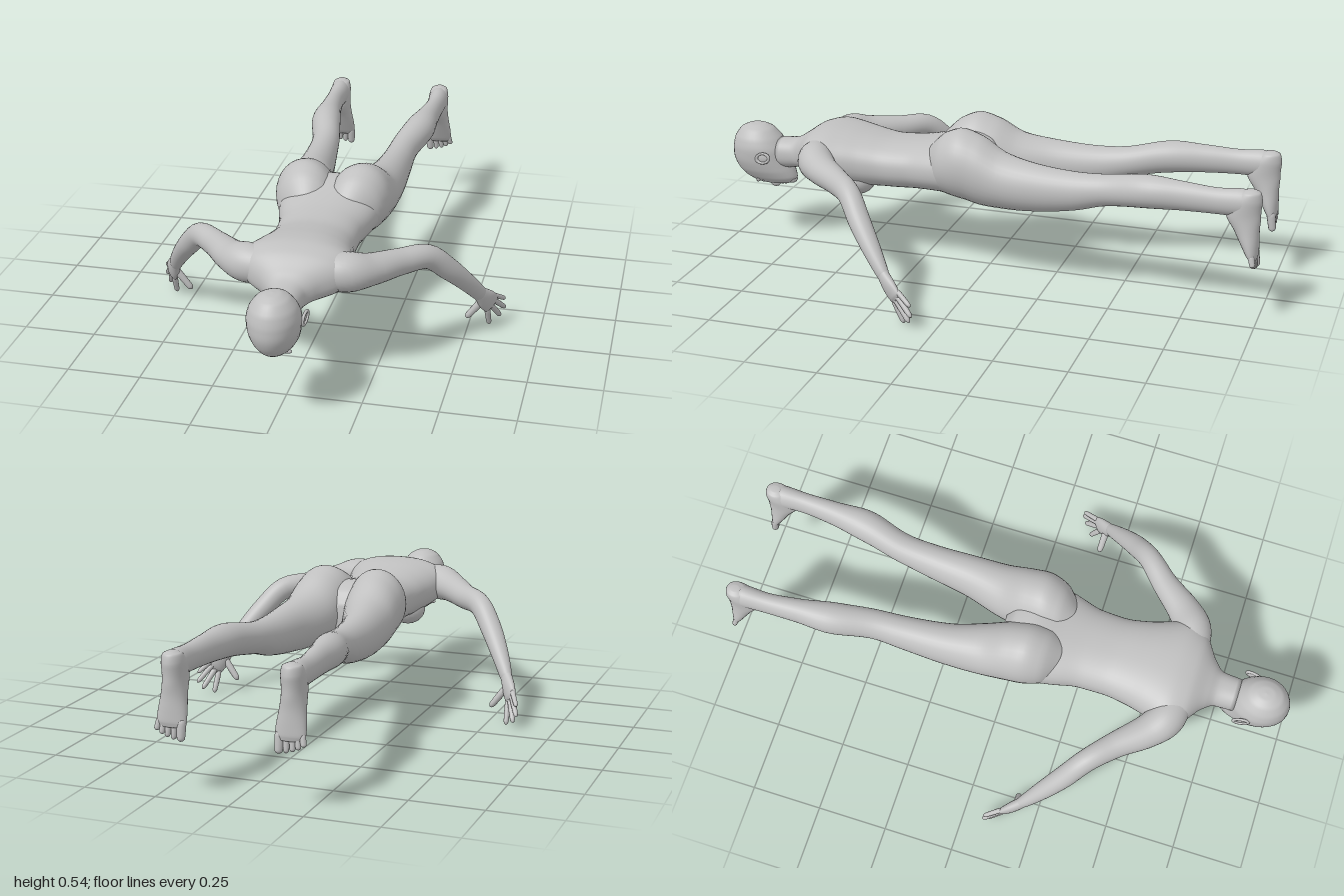
import * as THREE from 'three';

const skin = new THREE.MeshStandardMaterial({ color: 0xc0c0c0 });
skin.name = 'plain grey skin';

const v3 = (x, y, z) => new THREE.Vector3(x, y, z);

// Smooth closed tube through sections [x, y, z, radiusA, radiusB].
// side: direction of radiusA; axis: fixed section normal, or null to follow the path;
// power: below 1 gives boxier sections; s: 1 for left, -1 for right.
function loft(name, sections, { side, axis = null, power = 1, s = 1, around = 32, steps = 5 }) {
  const path = new THREE.CatmullRomCurve3(sections.map(p => v3(p[0] * s, p[1], p[2])));
  const radii = new THREE.CatmullRomCurve3(sections.map(p => v3(p[3], p[4], 0)));
  const rows = (sections.length - 1) * steps;
  const hint = v3(side[0] * s, side[1], side[2]);
  const positions = [], index = [];
  const soft = a => Math.sign(a) * Math.abs(a) ** power;
  const centres = [];
  for (let i = 0; i <= rows; i++) {
    const t = i / rows;
    const c = path.getPoint(t), r = radii.getPoint(t);
    const T = axis ? v3(...axis) : path.getTangent(t);
    const U = hint.clone().addScaledVector(T, -hint.dot(T)).normalize();
    const V = T.clone().cross(U);
    for (let j = 0; j < around; j++) {
      const a = (j / around) * Math.PI * 2;
      const p = c.clone()
        .addScaledVector(U, soft(Math.cos(a)) * Math.max(r.x, 0.0005))
        .addScaledVector(V, soft(Math.sin(a)) * Math.max(r.y, 0.0005));
      positions.push(p.x, p.y, p.z);
      if (i < rows) {
        const k = (j + 1) % around, n = i * around, m = n + around;
        index.push(n + j, n + k, m + k, n + j, m + k, m + j);
      }
    }
    if (i === 0 || i === rows) centres.push(c);
  }
  // End caps
  const first = positions.length / 3, last = rows * around;
  centres.forEach(c => positions.push(c.x, c.y, c.z));
  for (let j = 0; j < around; j++) {
    const k = (j + 1) % around;
    index.push(first, k, j, first + 1, last + j, last + k);
  }
  const g = new THREE.BufferGeometry();
  g.setAttribute('position', new THREE.Float32BufferAttribute(positions, 3));
  g.setIndex(index);
  g.computeVertexNormals();
  const mesh = new THREE.Mesh(g, skin);
  mesh.name = name;
  return mesh;
}

function ellipsoid(name, centre, size) {
  const mesh = new THREE.Mesh(new THREE.SphereGeometry(1, 24, 16), skin);
  mesh.name = name;
  mesh.position.set(...centre);
  mesh.scale.set(...size);
  return mesh;
}

// Finger or toe with a rounded tip
function digit(name, from, to, r, s) {
  const at = (t, k) => [0, 1, 2].map(i => from[i] + (to[i] - from[i]) * t).concat(r * k, r * k);
  return loft(name, [at(-0.1, 0.8), at(0.1, 1), at(0.5, 0.95), at(0.85, 0.85), at(0.96, 0.5), at(1, 0.02)],
    { side: [1, 0.3, 0.2], s, around: 12, steps: 3 });
}

function makeHead() {
  const head = new THREE.Group();
  head.name = 'head';
  // Skull and face, from the face up to the back of the head
  head.add(loft('skull', [
    [0, 0.226, 0.83, 0.005, 0.02],
    [0, 0.232, 0.838, 0.038, 0.075],
    [0, 0.252, 0.851, 0.057, 0.1],
    [0, 0.282, 0.869, 0.073, 0.109],
    [0, 0.32, 0.884, 0.083, 0.109],
    [0, 0.36, 0.89, 0.086, 0.104],
    [0, 0.4, 0.897, 0.076, 0.087],
    [0, 0.432, 0.9, 0.052, 0.06],
    [0, 0.446, 0.9, 0.025, 0.03],
    [0, 0.449, 0.9, 0.001, 0.001],
  ], { side: [1, 0, 0], axis: [0, 1, 0] }));
  head.add(ellipsoid('nose', [0, 0.226, 0.838], [0.013, 0.02, 0.022]));
  head.add(ellipsoid('upperLip', [0, 0.229, 0.804], [0.022, 0.008, 0.007]));
  head.add(ellipsoid('lowerLip', [0, 0.23, 0.793], [0.019, 0.008, 0.007]));
  head.add(ellipsoid('chin', [0, 0.242, 0.768], [0.022, 0.014, 0.017]));
  for (const s of [1, -1]) {
    head.add(ellipsoid('eye', [0.031 * s, 0.241, 0.868], [0.016, 0.009, 0.009]));
    head.add(ellipsoid('brow', [0.032 * s, 0.241, 0.887], [0.024, 0.009, 0.007]));
    // Ear: rim around a shallow bowl
    const ear = new THREE.Group();
    ear.name = 'ear';
    const rim = new THREE.Mesh(new THREE.TorusGeometry(0.02, 0.005, 10, 28), skin);
    rim.name = 'earRim';
    rim.scale.set(1.3, 0.9, 1);
    ear.add(rim, ellipsoid('earBowl', [0, 0, -0.004 * s], [0.024, 0.017, 0.005]));
    ear.position.set(0.088 * s, 0.342, 0.845);
    ear.rotation.y = Math.PI / 2 - 0.1 * s;
    ear.rotation.x = 0.3 * s;
    head.add(ear);
  }
  return head;
}

function makeArm(s) {
  const arm = new THREE.Group();
  arm.name = s > 0 ? 'leftArm' : 'rightArm';
  const side = [0.4, 0.8, -0.35];
  arm.add(loft('armAndForearm', [
    [0.1, 0.39, 0.61, 0.06, 0.06],
    [0.17, 0.39, 0.597, 0.066, 0.064],
    [0.23, 0.383, 0.55, 0.053, 0.058],
    [0.31, 0.375, 0.458, 0.045, 0.045],
    [0.39, 0.366, 0.38, 0.041, 0.039],
    [0.45, 0.3, 0.32, 0.038, 0.038],
    [0.5, 0.23, 0.26, 0.032, 0.032],
    [0.543, 0.16, 0.202, 0.026, 0.021],
    [0.55, 0.147, 0.19, 0.022, 0.015],
  ], { side, s }));
  arm.add(loft('palm', [
    [0.537, 0.172, 0.212, 0.022, 0.018],
    [0.55, 0.148, 0.192, 0.028, 0.019],
    [0.565, 0.12, 0.167, 0.036, 0.018],
    [0.577, 0.098, 0.146, 0.036, 0.014],
    [0.582, 0.088, 0.137, 0.025, 0.007],
  ], { side, s }));
  arm.add(digit('thumb', [0.55, 0.12, 0.18], [0.495, 0.046, 0.173], 0.013, s));
  arm.add(digit('indexFinger', [0.566, 0.074, 0.152], [0.57, 0.003, 0.118], 0.0105, s));
  arm.add(digit('middleFinger', [0.576, 0.09, 0.145], [0.604, 0.023, 0.087], 0.0105, s));
  arm.add(digit('ringFinger', [0.584, 0.106, 0.137], [0.619, 0.05, 0.074], 0.01, s));
  arm.add(digit('littleFinger', [0.589, 0.12, 0.13], [0.617, 0.087, 0.078], 0.009, s));
  return arm;
}

function makeLeg(s) {
  const leg = new THREE.Group();
  leg.name = s > 0 ? 'leftLeg' : 'rightLeg';
  // Buttock, thigh, knee, calf and ankle
  leg.add(loft('thighAndCalf', [
    [0.07, 0.39, 0.2, 0.055, 0.065],
    [0.088, 0.408, 0.14, 0.096, 0.107],
    [0.099, 0.415, 0.07, 0.105, 0.125],
    [0.104, 0.398, 0, 0.101, 0.122],
    [0.114, 0.375, -0.08, 0.091, 0.1],
    [0.133, 0.368, -0.2, 0.072, 0.085],
    [0.143, 0.375, -0.35, 0.058, 0.068],
    [0.152, 0.396, -0.47, 0.052, 0.055],
    [0.181, 0.418, -0.6, 0.056, 0.057],
    [0.193, 0.421, -0.73, 0.041, 0.05],
    [0.2, 0.42, -0.85, 0.034, 0.045],
    [0.2, 0.423, -0.93, 0.037, 0.048],
    [0.2, 0.422, -0.975, 0.022, 0.03],
  ], { side: [1, 0, 0], axis: [0, 0, -1], s }));
  // Foot hanging from heel to ball, sole facing back
  leg.add(loft('foot', [
    [0.199, 0.471, -0.96, 0.012, 0.015],
    [0.199, 0.462, -0.957, 0.03, 0.034],
    [0.199, 0.43, -0.945, 0.038, 0.053],
    [0.199, 0.38, -0.937, 0.038, 0.058],
    [0.199, 0.33, -0.95, 0.042, 0.043],
    [0.199, 0.28, -0.964, 0.049, 0.03],
    [0.199, 0.248, -0.973, 0.05, 0.021],
    [0.197, 0.232, -0.977, 0.043, 0.013],
  ], { side: [1, 0, 0], axis: [0, -1, 0], s }));
  // Toes, big toe on the inside
  for (let i = 0; i < 5; i++) {
    const x = [0.164, 0.187, 0.206, 0.223, 0.239][i];
    const tip = [0.188, 0.192, 0.198, 0.206, 0.217][i];
    leg.add(digit('toe', [x, 0.25, -0.975], [x + 0.002 * i, tip, -0.984], i ? 0.0105 : 0.015, s));
  }
  return leg;
}

export function createModel() {
  const figure = new THREE.Group();
  figure.name = 'proneFigure';
  // Torso from hips to neck
  figure.add(loft('torsoAndNeck', [
    [0, 0.37, -0.035, 0.04, 0.05],
    [0, 0.382, 0, 0.12, 0.09],
    [0, 0.39, 0.08, 0.185, 0.105],
    [0, 0.38, 0.18, 0.168, 0.093],
    [0, 0.37, 0.27, 0.145, 0.088],
    [0, 0.365, 0.36, 0.142, 0.088],
    [0, 0.37, 0.45, 0.155, 0.095],
    [0, 0.378, 0.52, 0.175, 0.098],
    [0, 0.388, 0.59, 0.195, 0.091],
    [0, 0.385, 0.65, 0.165, 0.08],
    [0, 0.368, 0.7, 0.095, 0.063],
    [0, 0.352, 0.74, 0.061, 0.055],
    [0, 0.345, 0.81, 0.056, 0.055],
  ], { side: [1, 0, 0], axis: [0, 0, 1], power: 0.88, around: 48 }));
  figure.add(makeHead());
  for (const s of [1, -1]) {
    figure.add(ellipsoid('breast', [0.078 * s, 0.305, 0.478], [0.064, 0.056, 0.068]));
    figure.add(makeArm(s), makeLeg(s));
  }
  return figure;
}
